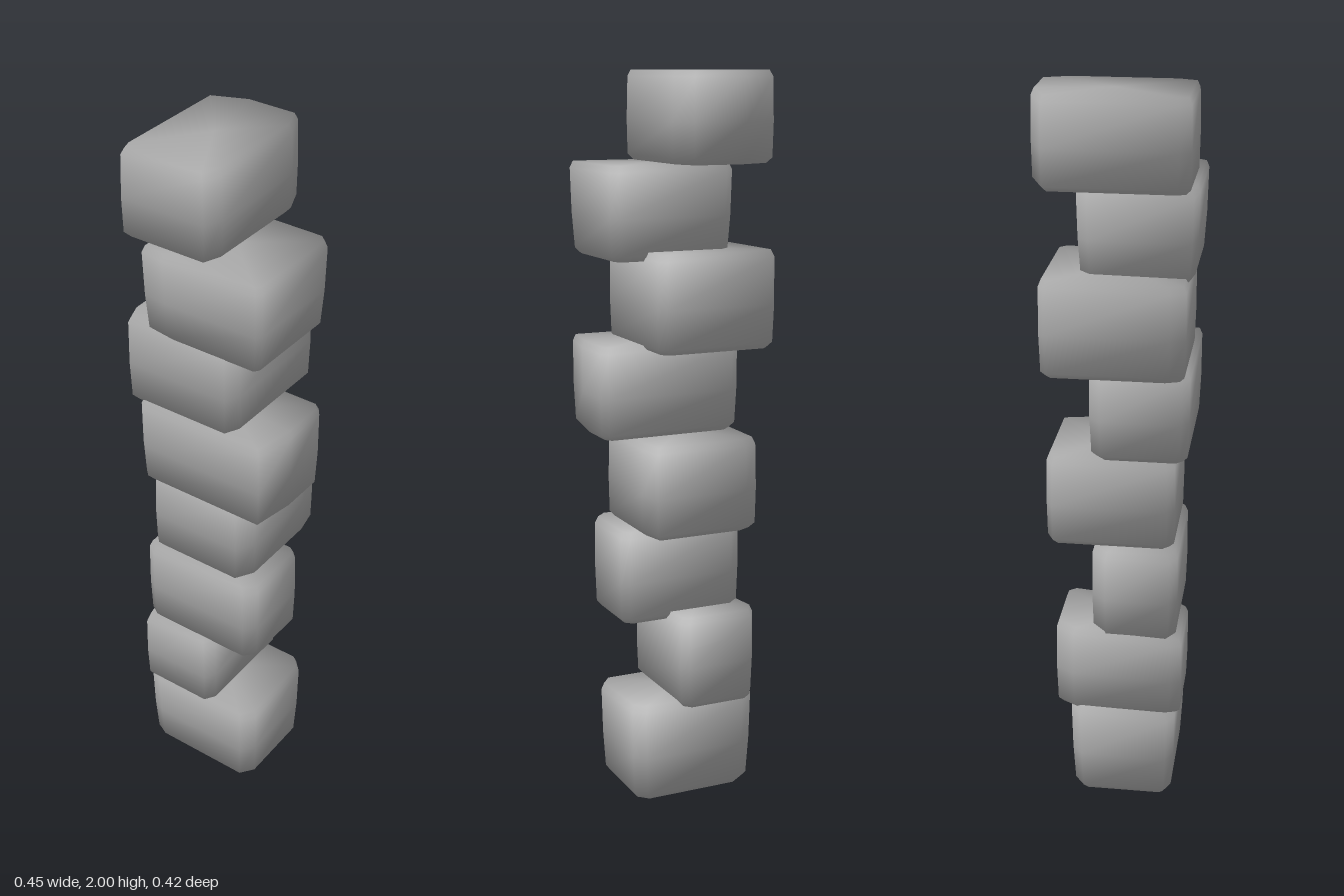
import * as THREE from 'three';

// Each stone: x, y, z ranges; corner cuts [dx, dz] in the order
// (+x+z), (+x-z), (-x-z), (-x+z); flare widens the top; tilt lifts the top towards -z.
const STONES = [
  { x: [-0.212, 0.158], y: [0.003, 0.28], z: [-0.122, 0.175], cuts: [[0.03, 0.04], [0.03, 0.03], [0.04, 0.03], [0.04, 0.02]], flare: 0.008, tilt: 0.008 },
  { x: [-0.205, 0.032], y: [0.275, 0.525], z: [-0.16, 0.192], cuts: [[0.02, 0.03], [0.02, 0.02], [0.03, 0.05], [0.01, 0.03]], flare: 0, tilt: 0.015 },
  { x: [-0.202, 0.167], y: [0.508, 0.772], z: [-0.06, 0.176], cuts: [[0.03, 0.03], [0.02, 0.02], [0.04, 0.04], [0.03, 0.02]], flare: 0, tilt: 0 },
  { x: [-0.182, 0.137], y: [0.778, 1.033], z: [-0.188, 0.167], cuts: [[0.03, 0.05], [0.015, 0.07], [0.04, 0.02], [0.02, 0.02]], flare: -0.003, tilt: 0 },
  { x: [-0.187, 0.225], y: [1.033, 1.287], z: [-0.067, 0.202], cuts: [[0.02, 0.12], [0.015, 0.02], [0.03, 0.03], [0.02, 0.02]], flare: 0.003, tilt: 0 },
  { x: [-0.226, 0.112], y: [1.275, 1.535], z: [-0.187, 0.192], cuts: [[0.02, 0.04], [0.02, 0.02], [0.015, 0.015], [0.015, 0.04]], flare: 0, tilt: 0.003 },
  { x: [-0.15, 0.21], y: [1.512, 1.76], z: [-0.102, 0.212], cuts: [[0.01, 0.015], [0.02, 0.02], [0.03, 0.03], [0.07, 0.01]], flare: 0.008, tilt: 0 },
  { x: [-0.218, 0.06], y: [1.763, 2.0], z: [-0.214, 0.2], cuts: [[0.02, 0.05], [0.03, 0.07], [0.1, 0.04], [0.01, 0.03]], flare: -0.003, tilt: 0 },
];

// Height fraction and inset of every ring
const RINGS = [[0, 0.016], [0.06, 0.003], [0.45, 0], [0.93, 0.001], [1, 0.008]];

// Rectangle with cut corners, counter-clockwise from above
function footprint({ x: [x0, x1], z: [z0, z1], cuts: [a, b, c, d] }) {
  return [
    [x1 - a[0], z1], [x1, z1 - a[1]],
    [x1, z0 + b[1]], [x1 - b[0], z0],
    [x0 + c[0], z0], [x0, z0 + c[1]],
    [x0, z1 - d[1]], [x0 + d[0], z1],
  ];
}

function stoneGeometry(s) {
  const points = footprint(s);
  const n = points.length;
  const cx = (s.x[0] + s.x[1]) / 2, cz = (s.z[0] + s.z[1]) / 2;
  const hx = (s.x[1] - s.x[0]) / 2, hz = (s.z[1] - s.z[0]) / 2;
  const height = s.y[1] - s.y[0];
  const pos = [], normals = [], index = [];
  const normal = new THREE.Vector3();

  // Normals swing outwards from the middle, so every face shades softly to its corners
  const addVertex = (x, y, z, t) => {
    pos.push(x, y, z);
    normal.set((x - cx) / hx, 2 * t - 1, (z - cz) / hz).normalize();
    normals.push(normal.x, normal.y, normal.z);
  };

  // Rings of the body
  for (const [t, inset] of RINGS) {
    const shrink = inset + Math.abs(s.flare) * (s.flare > 0 ? 1 - t : t);
    for (const [px, pz] of points) {
      const z = cz + (pz - cz) * (1 - shrink / hz);
      const y = s.y[0] + height * t - s.tilt * t * (z - cz) / hz;
      addVertex(cx + (px - cx) * (1 - shrink / hx), y, z, t);
    }
  }
  for (let r = 0; r < RINGS.length - 1; r++) {
    for (let j = 0; j < n; j++) {
      const a = r * n + j, b = r * n + (j + 1) % n;
      index.push(a, b, b + n, a, b + n, a + n);
    }
  }

  // Bottom and top caps
  const bottom = pos.length / 3, top = bottom + 1;
  addVertex(cx, s.y[0], cz, 0);
  addVertex(cx, s.y[1], cz, 1);
  const last = (RINGS.length - 1) * n;
  for (let j = 0; j < n; j++) {
    const k = (j + 1) % n;
    index.push(bottom, k, j, top, last + j, last + k);
  }

  const geometry = new THREE.BufferGeometry();
  geometry.setAttribute('position', new THREE.Float32BufferAttribute(pos, 3));
  geometry.setAttribute('normal', new THREE.Float32BufferAttribute(normals, 3));
  geometry.setIndex(index);
  return geometry;
}

export function createModel() {
  const model = new THREE.Group();
  model.name = 'stoneStack';
  const material = new THREE.MeshStandardMaterial({ color: 0xa8a8a8 });
  STONES.forEach((stone, i) => {
    const mesh = new THREE.Mesh(stoneGeometry(stone), material);
    mesh.name = `stone${i + 1}`;
    model.add(mesh);
  });
  return model;
}
